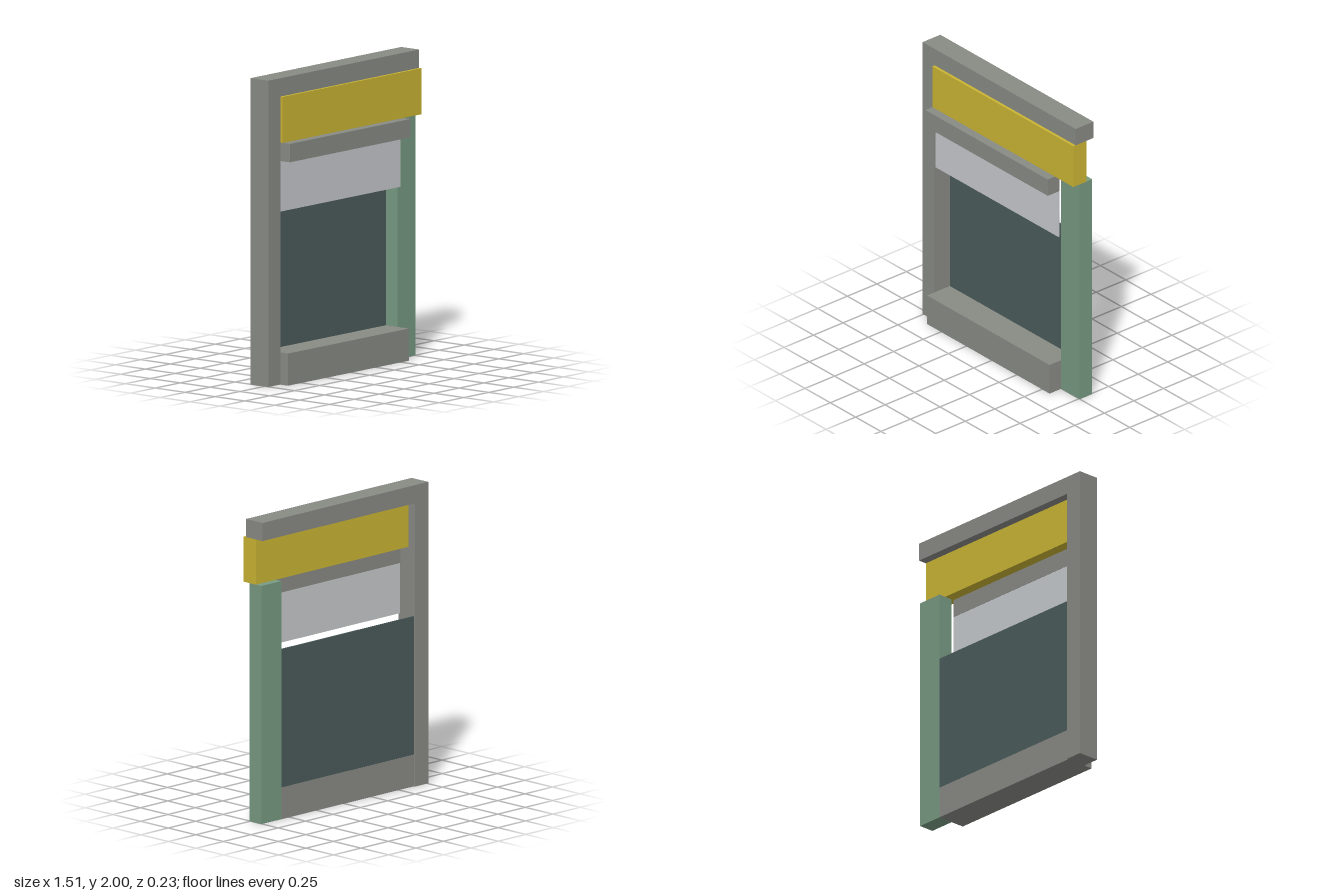
import * as THREE from 'three';

export function createModel() {
  const model = new THREE.Group();
  model.name = 'windowFrame';

  const material = (name, color) => {
    const m = new THREE.MeshStandardMaterial({ color });
    m.name = name;
    return m;
  };
  const grey = material('frameGrey', 0x888a84);
  const yellow = material('headerYellow', 0xcab433);
  const green = material('postGreen', 0x779a82);
  const pale = material('paleGlass', 0xc6c9cc);
  const dark = material('darkGlass', 0x4b5b5b);

  // Box given by its limits on each axis
  const box = (name, mat, [x0, x1], [y0, y1], [z0, z1]) => {
    const mesh = new THREE.Mesh(new THREE.BoxGeometry(x1 - x0, y1 - y0, z1 - z0), mat);
    mesh.position.set((x0 + x1) / 2, (y0 + y1) / 2, (z0 + z1) / 2);
    mesh.name = name;
    model.add(mesh);
  };

  // L-shaped outer frame: right post and top beam in one piece
  const outline = new THREE.Shape([
    [-0.757, 0], [-0.637, 0], [-0.637, 1.88], [0.757, 1.88], [0.757, 2], [-0.757, 2],
  ].map(([x, y]) => new THREE.Vector2(x, y)));
  const frame = new THREE.Mesh(
    new THREE.ExtrudeGeometry(outline, { depth: 0.15, bevelEnabled: false }), grey);
  frame.position.z = -0.115;
  frame.name = 'outerFrame';
  model.add(frame);

  // Header, side post, rail and sill
  box('headerPanel', yellow, [-0.637, 0.757], [1.58, 1.88], [-0.055, 0.055]);
  box('sidePost', green, [0.575, 0.757], [0, 1.58], [-0.105, 0.003]);
  box('upperRail', grey, [-0.637, 0.575], [1.46, 1.58], [0.018, 0.115]);
  box('bottomSill', grey, [-0.637, 0.575], [0, 0.21], [-0.105, 0.1]);

  // Glass panes, the lower one set at the back
  box('upperPane', pale, [-0.64, 0.577], [1.127, 1.46], [0.02, 0.028]);
  box('lowerPane', dark, [-0.642, 0.58], [0.208, 1.127], [-0.103, -0.093]);

  return model;
}
